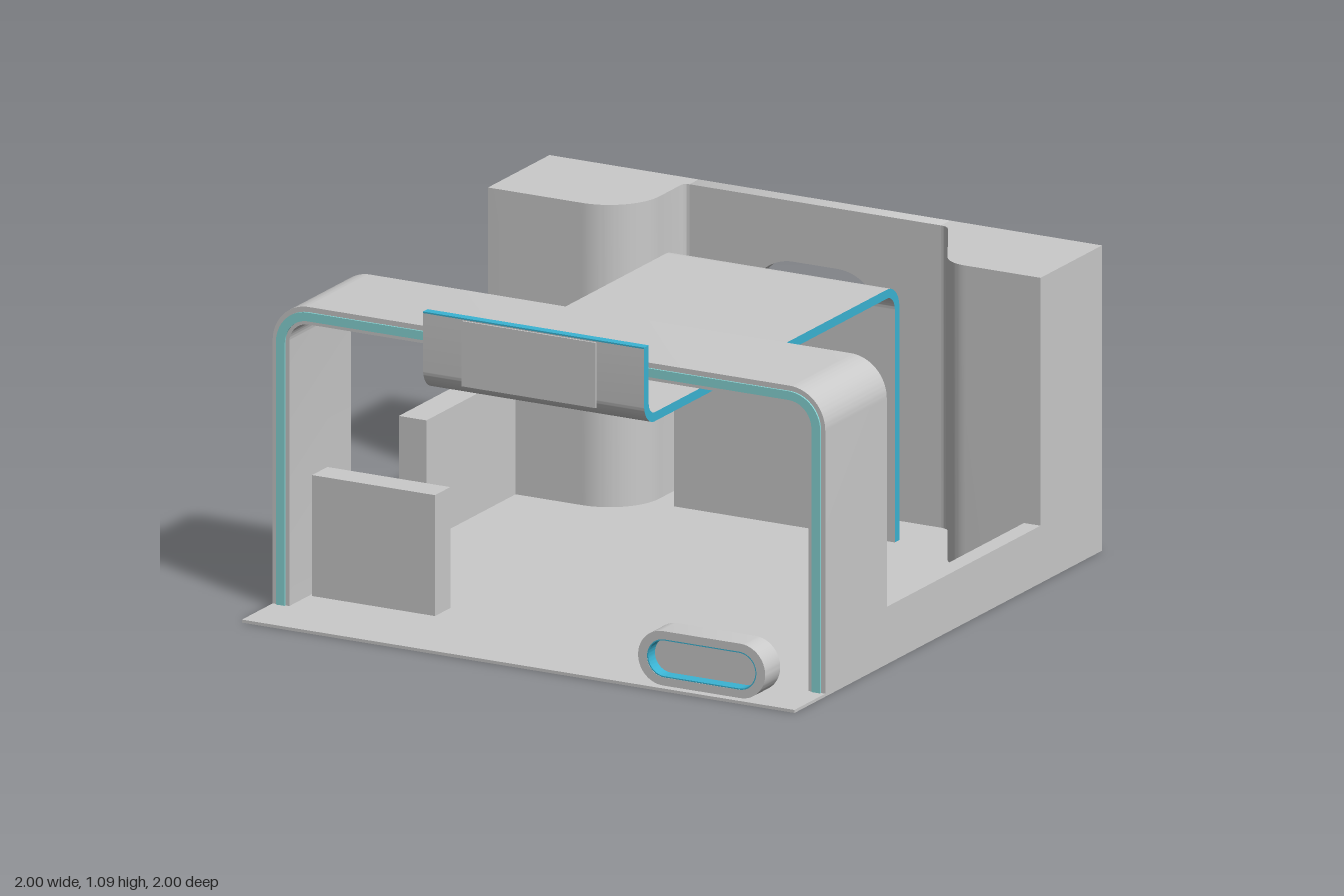
import * as THREE from 'three';
import { toCreasedNormals } from 'three/addons/utils/BufferGeometryUtils.js';

const FLOOR = 0.01;
const material = (name, color) => Object.assign(new THREE.MeshStandardMaterial({ color }), { name });

export function createModel() {
  const group = new THREE.Group();
  const grey = material('wall grey', 0xcacaca);
  const blue = material('edge blue', 0x3bb4d4);
  const cyan = material('light strip cyan', 0x88d6d6);

  const add = (name, geometry, mat) => {
    const mesh = new THREE.Mesh(geometry, mat);
    mesh.name = name;
    group.add(mesh);
    return mesh;
  };
  // box given by its lower and upper limits on each axis
  const box = (name, [x0, x1], [y0, y1], [z0, z1], mat = grey) => {
    const g = new THREE.BoxGeometry(x1 - x0, y1 - y0, z1 - z0);
    g.translate((x0 + x1) / 2, (y0 + y1) / 2, (z0 + z1) / 2);
    return add(name, g, mat);
  };
  const extrude = (shape, depth) => toCreasedNormals(
    new THREE.ExtrudeGeometry(shape, { depth, bevelEnabled: false, curveSegments: 16 }), 0.6);
  // upright shape in the xy plane, running from z0 to z1
  const upright = (name, shape, z0, z1, mat = grey) =>
    add(name, extrude(shape, z1 - z0).translate(0, 0, z0), mat);

  // floor and low side furniture
  box('floor', [-1, 1], [0, FLOOR], [-1, 1]);
  box('lowSideWall', [0.94, 1], [FLOOR, 0.19], [-0.6, 0.4]);
  box('sideCounter', [-1, -0.9], [FLOOR, 0.41], [-0.6, -0.02]);
  box('frontCounter', [-0.93, -0.485], [FLOOR, 0.41], [0.57, 0.67]);

  // back wall: two curved blocks drawn in plan (shape y is -z)
  const leftPlan = new THREE.Shape();
  leftPlan.moveTo(-1, 0.6);
  leftPlan.lineTo(-0.66, 0.6);
  leftPlan.absarc(-0.66, 0.78, 0.18, -Math.PI / 2, 0, false);
  leftPlan.lineTo(-0.48, 0.92);
  leftPlan.quadraticCurveTo(-0.48, 0.94, -0.46, 0.94);
  leftPlan.lineTo(-0.46, 1);
  leftPlan.lineTo(-1, 1);

  const rightPlan = new THREE.Shape();
  rightPlan.moveTo(1, 0.6);
  rightPlan.lineTo(1, 1);
  rightPlan.lineTo(0.45, 1);
  rightPlan.lineTo(0.45, 0.94);
  rightPlan.quadraticCurveTo(0.475, 0.94, 0.49, 0.915);
  rightPlan.lineTo(0.63, 0.66);
  rightPlan.quadraticCurveTo(0.66, 0.6, 0.73, 0.6);

  for (const [name, plan] of [['backWallRight', leftPlan], ['backWallLeft', rightPlan]]) {
    add(name, extrude(plan, 1).rotateX(-Math.PI / 2).translate(0, FLOOR, 0), grey);
  }

  // outline of an upside-down U, open at the floor, as a list of path commands
  const archOutline = (path, w, top, r) => {
    path.moveTo(-w, FLOOR);
    path.lineTo(-w, top - r);
    path.absarc(-w + r, top - r, r, Math.PI, Math.PI / 2, true);
    path.lineTo(w - r, top);
    path.absarc(w - r, top - r, r, Math.PI / 2, 0, true);
    path.lineTo(w, FLOOR);
    return path;
  };
  // band between two U outlines
  const archBand = (a, b) => {
    const outer = archOutline(new THREE.Path(), ...a).getPoints(16);
    const inner = archOutline(new THREE.Path(), ...b).getPoints(16);
    return new THREE.Shape([...outer, ...inner.reverse()]);
  };

  // thin middle of the back wall with the doorway
  const doorWall = archBand([0.455, 1.01, 0.0001], [0.24, 0.81, 0.16]);
  upright('doorwayWall', doorWall, -1, -0.94).position.x = -0.005;

  // front arch with light strips on both faces
  upright('arch', archBand([1, 1.01, 0.13], [0.94, 0.952, 0.07]), 0.4, 0.8);
  const strip = archBand([0.985, 0.993, 0.115], [0.953, 0.964, 0.083]);
  upright('frontLightStrip', strip, 0.8, 0.806, cyan);
  upright('backLightStrip', strip, 0.394, 0.4, cyan);

  // bent canopy: section in (z, y), swept across x, with blue edges
  const section = new THREE.Shape();
  section.moveTo(-0.76, FLOOR);
  section.lineTo(-0.73, FLOOR);
  section.lineTo(-0.73, 0.78);
  section.absarc(-0.68, 0.78, 0.05, Math.PI, Math.PI / 2, true);
  section.lineTo(0.83, 0.83);
  section.absarc(0.83, 0.9, 0.07, -Math.PI / 2, 0, false);
  section.lineTo(0.9, 1.087);
  section.lineTo(0.87, 1.087);
  section.lineTo(0.87, 0.9);
  section.absarc(0.83, 0.9, 0.04, 0, -Math.PI / 2, true);
  section.lineTo(-0.68, 0.86);
  section.absarc(-0.68, 0.78, 0.08, Math.PI / 2, Math.PI, false);
  add('canopy', extrude(section, 0.8).rotateY(-Math.PI / 2).translate(0.4, 0, 0), [blue, grey]);
  box('canopyTopEdge', [-0.4, 0.4], [1.087, 1.092], [0.87, 0.9], blue);

  // blank sign panel on the canopy front
  box('signMount', [-0.09, 0.08], [0.94, 1.02], [0.9, 0.921]);
  box('signPanel', [-0.245, 0.24], [0.875, 1.091], [0.921, 0.927]);

  // standing oval with a blue-lined recess
  const oval = (path, halfLength, r) => {
    const cx = 0.65, cy = 0.101, d = halfLength - r;
    path.absarc(cx + d, cy, r, -Math.PI / 2, Math.PI / 2, false);
    path.absarc(cx - d, cy, r, Math.PI / 2, Math.PI * 1.5, false);
    path.closePath();
    return path;
  };
  const ovalRing = (a, b) => {
    const s = oval(new THREE.Shape(), ...a);
    s.holes.push(oval(new THREE.Path(), ...b));
    return s;
  };
  upright('ovalFrame', ovalRing([0.23, 0.09], [0.198, 0.063]), 0.877, 0.975);
  upright('ovalLining', ovalRing([0.198, 0.063], [0.194, 0.059]), 0.93, 0.974, blue);
  upright('ovalPanel', oval(new THREE.Shape(), 0.198, 0.063), 0.878, 0.93);

  return group;
}
